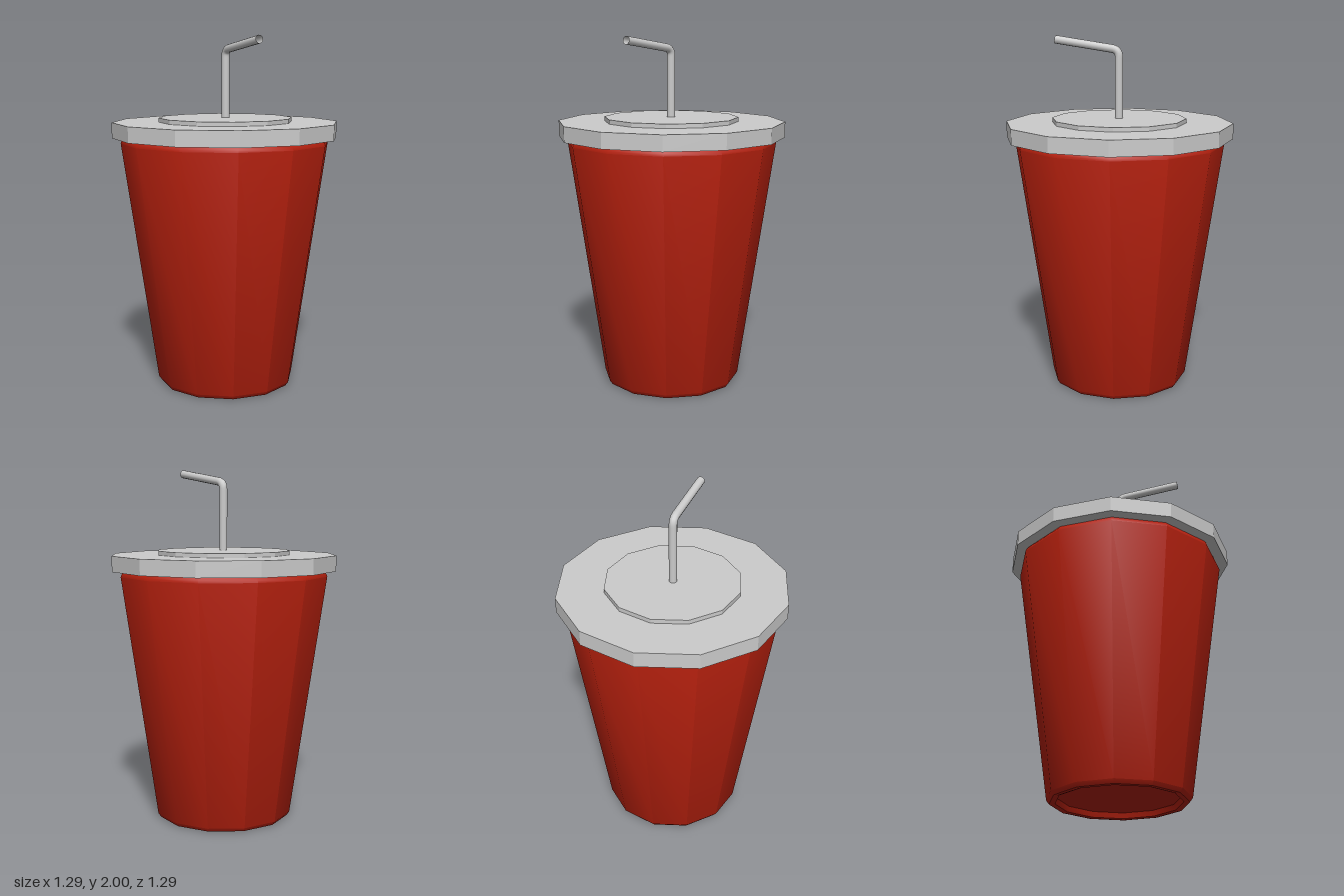
import * as THREE from 'three';
import { toCreasedNormals } from 'three/addons/utils/BufferGeometryUtils.js';

const SIDES = 12;

export function createModel() {
  const model = new THREE.Group();
  model.name = 'drinkCup';

  const red = new THREE.MeshStandardMaterial({ color: 0xb5200e });
  red.name = 'cupRed';
  const grey = new THREE.MeshStandardMaterial({ color: 0xcccccc, flatShading: true });
  grey.name = 'lidGrey';
  const strawGrey = new THREE.MeshStandardMaterial({ color: 0xcccccc, side: THREE.DoubleSide });
  strawGrey.name = 'strawGrey';

  const add = (name, geometry, material, y = 0) => {
    const mesh = new THREE.Mesh(geometry, material);
    mesh.name = name;
    mesh.position.y = y;
    model.add(mesh);
  };

  // Tapered cup: recessed floor, bevelled foot, wall and turned-in rim
  const profile = [
    [0, 0.035], [0.335, 0.035], [0.345, 0.005], [0.36, 0], [0.378, 0.003],
    [0.394, 0.025], [0.595, 1.4], [0.59, 1.415], [0.575, 1.435],
  ].map(([r, y]) => new THREE.Vector2(r, y));
  add('cup', toCreasedNormals(new THREE.LatheGeometry(profile, SIDES), 0.6), red);

  // Lid with a raised disc in the middle
  add('lid', new THREE.CylinderGeometry(0.644, 0.644, 0.088, SIDES), grey, 1.474);
  add('lidDisc', new THREE.CylinderGeometry(0.38, 0.38, 0.024, SIDES), grey, 1.53);

  // Bent straw, open at the end
  const bend = new THREE.Vector3(0, 1.923, 0);
  const tip = new THREE.Vector3(0.362, 1.976, 0.044);
  const start = bend.clone().setY(1.885);
  const finish = bend.clone().lerp(tip, 0.11);
  const path = new THREE.CurvePath();
  path.add(new THREE.LineCurve3(new THREE.Vector3(0, 1.5, 0), start));
  path.add(new THREE.QuadraticBezierCurve3(start, bend, finish));
  path.add(new THREE.LineCurve3(finish, tip));
  add('straw', new THREE.TubeGeometry(path, 60, 0.023, 12, false), strawGrey);

  return model;
}
